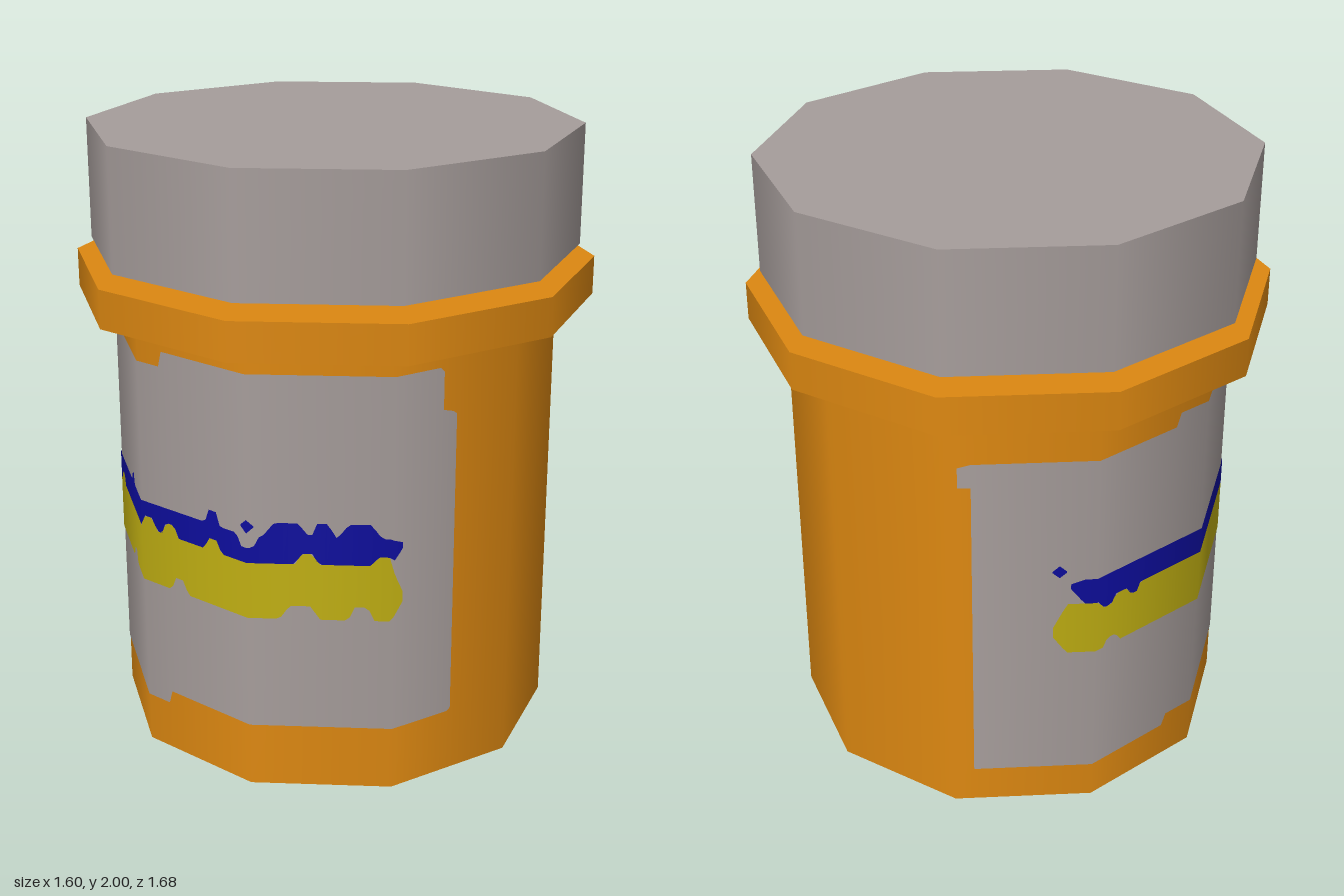
import * as THREE from 'three';

const SIDES = 10;
const BODY_R = 0.722;

const material = (name, color, side = THREE.FrontSide) => {
  const m = new THREE.MeshStandardMaterial({ color, side });
  m.name = name;
  return m;
};

// Point on the ten-sided wall; u counts faces from the front corner towards +x
function wallPoint(u, radius) {
  const i = Math.floor(u), t = u - i, step = (Math.PI * 2) / SIDES;
  const a = i * step, b = a + step;
  return [
    radius * (Math.sin(a) * (1 - t) + Math.sin(b) * t),
    radius * (Math.cos(a) * (1 - t) + Math.cos(b) * t),
  ];
}

// Thin sheet wrapped on the wall from [u, low, high] stations, folded at each corner
function wrap(stations, radius) {
  const pos = [], nor = [], idx = [];
  const add = (u, y) => {
    const [x, z] = wallPoint(u, radius), l = Math.hypot(x, z);
    pos.push(x, y, z);
    nor.push(x / l, 0, z / l);
  };
  for (let k = 0; k < stations.length - 1; k++) {
    const s = stations[k], e = stations[k + 1];
    if (e[0] - s[0] < 1e-6) continue;
    const cuts = [s[0]];
    for (let c = Math.floor(s[0]) + 1; c < e[0] - 1e-6; c++) cuts.push(c);
    cuts.push(e[0]);
    for (let j = 0; j < cuts.length - 1; j++) {
      const n = pos.length / 3;
      for (const u of [cuts[j], cuts[j + 1]]) {
        const t = (u - s[0]) / (e[0] - s[0]);
        add(u, s[1] + (e[1] - s[1]) * t);
        add(u, s[2] + (e[2] - s[2]) * t);
      }
      idx.push(n, n + 2, n + 3, n, n + 3, n + 1);
    }
  }
  const g = new THREE.BufferGeometry();
  g.setAttribute('position', new THREE.Float32BufferAttribute(pos, 3));
  g.setAttribute('normal', new THREE.Float32BufferAttribute(nor, 3));
  g.setIndex(idx);
  return g;
}

// Straight edge with flat-topped bumps [centre, halfWidth, height]
const bumpyEdge = (base, bumps) => (u) =>
  bumps.reduce((y, [c, w, h]) => {
    const k = Math.min(1, Math.max(0, (w - Math.abs(u - c)) / (w * 0.5)));
    return y + h * k;
  }, base);

// Stripe between two bumpy edges, with a ragged taper at both ends
function stripe(from, to, low, high, mid) {
  const list = [], n = 160;
  for (let i = 0; i <= n; i++) {
    const u = from + ((to - from) * i) / n;
    const k = Math.min(1, 0.2 + Math.min(u - from, to - u) / 0.12);
    list.push([u, mid + (low(u) - mid) * k, mid + (high(u) - mid) * k]);
  }
  return list;
}

export function createModel() {
  const group = new THREE.Group();
  const orange = material('amber plastic', 0xdd8811);
  const grey = material('grey plastic and paper', 0xa69d9b);
  const blue = material('blue ink', 0x0d0d9c, THREE.DoubleSide);
  const yellow = material('yellow ink', 0xbfae12, THREE.DoubleSide);

  const add = (name, geometry, mat) => {
    const mesh = new THREE.Mesh(geometry, mat);
    mesh.name = name;
    group.add(mesh);
    return mesh;
  };
  const drum = (name, radius, y0, y1, mat, x = 0) =>
    add(name, new THREE.CylinderGeometry(radius, radius, y1 - y0, SIDES), mat)
      .position.set(x, (y0 + y1) / 2, 0);

  // Bottle and cap
  drum('body', BODY_R, 0, 1.45, orange);
  drum('collar', 0.842, 1.445, 1.57, orange);
  drum('neck', 0.5, 1.56, 1.65, orange, -0.057);
  drum('neckThread', 0.54, 1.565, 1.602, orange, -0.057);
  drum('cap', 0.794, 1.61, 2, grey);

  // Paper label, wound slightly askew in three steps with nicked upper corners
  add('label', wrap([
    [-4.95, 1.2, 1.27], [-4.86, 1.2, 1.28],
    [-4.86, 0.125, 1.28], [-3.3, 0.125, 1.28],
    [-3.26, 0.165, 1.325], [-0.79, 0.165, 1.325],
    [-0.76, 0.21, 1.375], [1.36, 0.21, 1.375],
    [1.39, 0.21, 1.36], [1.39, 0.21, 1.24],
    [1.47, 0.21, 1.23], [1.5, 0.22, 1.22],
  ], BODY_R + 0.003), grey);

  // Printed stripes with ragged edges
  const blueTop = bumpyEdge(0.86, [
    [-1.35, 0.06, 0.035], [-0.31, 0.07, 0.045], [0, 0.09, -0.04],
    [0.27, 0.16, 0.045], [0.52, 0.08, 0.045], [0.77, 0.15, 0.045],
  ]);
  const seam = bumpyEdge(0.77, [
    [-3.9, 0.08, -0.03], [-3.65, 0.06, -0.03], [-1.87, 0.08, 0.035],
    [-0.93, 0.08, 0.04], [-0.72, 0.08, 0.04], [-0.31, 0.08, 0.04],
    [0.41, 0.08, 0.035], [0.93, 0.08, 0.03],
  ]);
  const yellowBottom = bumpyEdge(0.585, [
    [-3.85, 0.08, 0.03], [-1.35, 0.08, 0.04], [-0.64, 0.08, 0.045],
    [0.36, 0.14, 0.045], [0.78, 0.09, 0.045],
  ]);
  add('blueStripe', wrap(stripe(-4.18, 1.07, seam, blueTop, 0.84), BODY_R + 0.006), blue);
  add('yellowStripe', wrap(stripe(-4.3, 1.07, yellowBottom, seam, 0.66), BODY_R + 0.006), yellow);

  // Ink specks beside the blue stripe
  for (const u of [0, -4.26])
    add('inkSpeck', wrap([[u - 0.05, 0.888, 0.892], [u, 0.868, 0.912], [u + 0.05, 0.888, 0.892]],
      BODY_R + 0.006), blue);

  return group;
}
